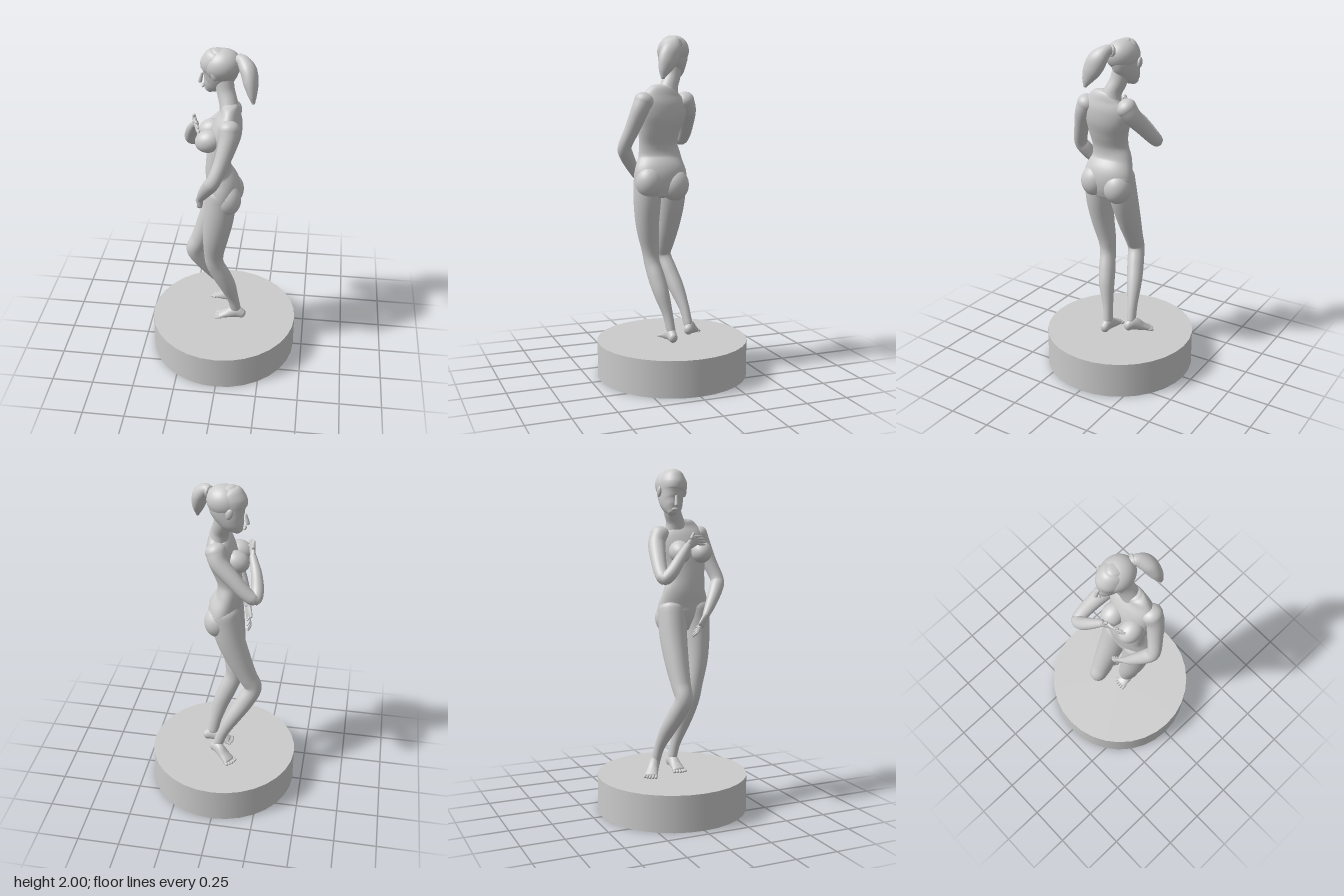
import * as THREE from 'three';

const material = new THREE.MeshStandardMaterial({ color: 0xcccccc });
const V = (x, y, z) => new THREE.Vector3(x, y, z);
const X = V(1, 0, 0), Z = V(0, 0, 1);

// Smooth limb through sections [x, y, z, a, b]: a = half width along ref, b = the other half width.
// Both ends are closed with a rounded cap.
function loft(name, sections, ref = Z, cap = 0.8, sides = 28, steps = 6) {
  const path = new THREE.CatmullRomCurve3(sections.map(s => V(s[0], s[1], s[2])), false, 'catmullrom', 0.5);
  const size = new THREE.CatmullRomCurve3(sections.map(s => V(s[3], s[4] ?? s[3], 0)), false, 'catmullrom', 0.5);
  const n = (sections.length - 1) * steps, capSteps = 6;
  const rings = [];
  for (let k = 0; k < capSteps; k++) rings.push([0, k / capSteps * Math.PI / 2, -1]);
  for (let k = 0; k <= n; k++) rings.push([k / n, Math.PI / 2, 0]);
  for (let k = capSteps - 1; k >= 0; k--) rings.push([1, k / capSteps * Math.PI / 2, 1]);

  const positions = [], index = [];
  rings.forEach(([t, phi, end], i) => {
    const r = size.getPoint(t), tangent = path.getTangent(t);
    const scale = Math.max(Math.sin(phi), 0.01);
    const centre = path.getPoint(t).addScaledVector(tangent, end * Math.cos(phi) * Math.min(r.x, r.y) * cap);
    const u = ref.clone().addScaledVector(tangent, -ref.dot(tangent)).normalize();
    const v = tangent.clone().cross(u);
    for (let j = 0; j < sides; j++) {
      const a = j / sides * Math.PI * 2;
      const p = centre.clone().addScaledVector(u, Math.cos(a) * r.x * scale).addScaledVector(v, Math.sin(a) * r.y * scale);
      positions.push(p.x, p.y, p.z);
      if (i < rings.length - 1) {
        const k = (j + 1) % sides, A = i * sides, B = A + sides;
        index.push(A + j, A + k, B + k, A + j, B + k, B + j);
      }
    }
  });
  const geometry = new THREE.BufferGeometry();
  geometry.setAttribute('position', new THREE.Float32BufferAttribute(positions, 3));
  geometry.setIndex(index);
  geometry.computeVertexNormals();
  return part(name, geometry);
}

function part(name, geometry) {
  const mesh = new THREE.Mesh(geometry, material);
  mesh.name = name;
  return mesh;
}

function ellipsoid(name, centre, radii, tilt = [0, 0, 0]) {
  const mesh = part(name, new THREE.SphereGeometry(1, 32, 20));
  mesh.position.set(...centre);
  mesh.scale.set(...radii);
  mesh.rotation.set(...tilt);
  return mesh;
}

// Flat palm from the wrist to the knuckles, four bent fingers and a thumb
function hand(name, wrist, knuckle, tip, spread) {
  const g = new THREE.Group();
  g.name = name;
  const mid = wrist.clone().lerp(knuckle, 0.55);
  g.add(loft('palm', [[...wrist, 0.021, 0.017], [...mid, 0.03, 0.014], [...knuckle, 0.032, 0.011]], spread, 0.6, 16, 4));
  for (let i = 0; i < 4; i++) {
    const root = knuckle.clone().addScaledVector(spread, (i - 1.5) * 0.016);
    const end = tip.clone().addScaledVector(spread, (i - 1.5) * 0.021).lerp(root, i === 0 || i === 3 ? 0.2 : 0);
    const joint = root.clone().lerp(end, 0.5).addScaledVector(X, -0.007);
    g.add(loft('finger', [[...root, 0.0095], [...joint, 0.0085], [...end, 0.006]], spread, 0.9, 10, 4));
  }
  const thumbRoot = mid.clone().addScaledVector(spread, 0.02);
  const thumbEnd = knuckle.clone().addScaledVector(spread, 0.046);
  g.add(loft('thumb', [[...thumbRoot, 0.012], [...thumbEnd, 0.008]], X, 0.9, 10, 4));
  return g;
}

// Low wedge of a foot from the heel to the toes, with the toes as small rounded tips
function foot(name, heel, toe, lift) {
  const g = new THREE.Group();
  g.name = name;
  const dir = toe.clone().sub(heel).normalize();
  const side = V(-dir.z, 0, dir.x).normalize();
  const at = (t, y, a, b) => {
    const p = heel.clone().lerp(toe, t);
    return [p.x, y, p.z, a, b];
  };
  g.add(loft('instep', [
    at(0.1, 0.25 + lift, 0.026, 0.03), at(0.32, 0.262 + lift * 0.8, 0.03, 0.04),
    at(0.6, 0.245 + lift * 0.3, 0.035, 0.027), at(0.82, 0.232, 0.038, 0.016),
  ], side));
  for (let i = 0; i < 5; i++) {
    const w = (i - 2) * 0.0155, len = 0.98 - Math.abs(i - 1.5) * 0.025;
    const a = heel.clone().lerp(toe, 0.78).addScaledVector(side, w);
    const b = heel.clone().lerp(toe, len).addScaledVector(side, w * 1.1);
    g.add(loft('toe', [[a.x, 0.23, a.z, 0.01], [b.x, 0.225, b.z, 0.0085]], side, 0.9, 10, 3));
  }
  return g;
}

export function createModel() {
  const model = new THREE.Group();
  model.name = 'statue';

  // Round plinth
  const plinth = part('plinth', new THREE.CylinderGeometry(0.447, 0.447, 0.215, 32));
  plinth.position.y = 0.1075;
  model.add(plinth);

  // Torso, from the pelvis to the base of the neck
  model.add(loft('torso', [
    [0.01, 1.09, 0.075, 0.11, 0.07], [0.01, 1.15, 0.075, 0.15, 0.088], [0.005, 1.22, 0.073, 0.156, 0.092],
    [-0.02, 1.3, 0.07, 0.132, 0.074], [-0.02, 1.38, 0.078, 0.116, 0.07], [0, 1.47, 0.078, 0.126, 0.08],
    [0.02, 1.55, 0.07, 0.143, 0.086], [0.035, 1.62, 0.062, 0.147, 0.074], [0.042, 1.67, 0.055, 0.115, 0.053],
    [0.04, 1.7, 0.045, 0.065, 0.045],
  ], Z, 0.3));
  for (const [z, y] of [[0.15, 1.165], [-0.003, 1.145]]) {
    model.add(ellipsoid('seat', [0.035, y, z], [0.08, 0.095, 0.084]));
  }
  for (const z of [0.152, 0.02]) {
    model.add(ellipsoid('chest', [-0.065, 1.535, z], [0.077, 0.064, 0.062], [0, 0, 0.3]));
  }

  // Neck
  model.add(loft('neck', [
    [0.04, 1.65, 0.045, 0.075, 0.055], [0.028, 1.71, 0.03, 0.053, 0.051],
    [0.01, 1.77, 0.005, 0.05, 0.05], [-0.005, 1.84, -0.01, 0.05, 0.055],
  ]));

  // Head, turned to -x and leaning slightly
  model.add(loft('head', [
    [-0.09, 1.757, -0.038, 0.026, 0.025], [-0.07, 1.785, -0.035, 0.047, 0.053], [-0.047, 1.82, -0.03, 0.062, 0.076],
    [-0.027, 1.87, -0.022, 0.073, 0.1], [-0.022, 1.92, -0.015, 0.078, 0.107], [-0.018, 1.96, -0.01, 0.066, 0.088],
    [-0.012, 1.982, -0.008, 0.04, 0.055],
  ], Z, 0.4));
  model.add(ellipsoid('hair', [-0.008, 1.912, -0.01], [0.102, 0.088, 0.09], [0, 0, 0.25]));
  model.add(loft('nose', [[-0.122, 1.85, -0.028, 0.007], [-0.131, 1.815, -0.032, 0.01], [-0.135, 1.8, -0.033, 0.011]], Z, 0.7, 12, 4));
  model.add(ellipsoid('lips', [-0.119, 1.776, -0.036], [0.01, 0.01, 0.02]));
  for (const s of [1, -1]) {
    model.add(ellipsoid('ear', [-0.045, 1.875, -0.022 + s * 0.078], [0.019, 0.031, 0.012], [0, 0, 0.25]));
  }

  // Ponytail and its band
  const band = part('hairBand', new THREE.TorusGeometry(0.024, 0.011, 10, 24));
  band.position.set(0.083, 1.95, 0.005);
  band.rotation.y = Math.PI / 2 - 0.4;
  model.add(band);
  model.add(loft('ponytail', [
    [0.07, 1.948, 0, 0.025], [0.1, 1.952, 0.02, 0.034, 0.034], [0.135, 1.915, 0.052, 0.056, 0.044],
    [0.152, 1.855, 0.082, 0.056, 0.04], [0.163, 1.8, 0.107, 0.035, 0.025], [0.17, 1.76, 0.12, 0.012, 0.01],
  ]));

  // Lowered arm on the +z side
  model.add(loft('leftArm', [
    [0.05, 1.63, 0.185, 0.06], [0.047, 1.57, 0.215, 0.051], [0.02, 1.47, 0.25, 0.043], [-0.018, 1.37, 0.283, 0.039],
    [-0.045, 1.32, 0.265, 0.041], [-0.088, 1.235, 0.21, 0.032], [-0.115, 1.17, 0.165, 0.021],
  ], X));
  model.add(hand('leftHand', V(-0.115, 1.17, 0.165), V(-0.13, 1.11, 0.125), V(-0.125, 1.07, 0.08), V(-0.25, 0.5, -0.83).cross(V(-1, 0, 0.3)).normalize()));

  // Raised, folded arm on the -z side
  model.add(loft('rightArm', [
    [0.035, 1.63, -0.06, 0.06], [0.01, 1.575, -0.09, 0.052], [-0.065, 1.5, -0.115, 0.045], [-0.145, 1.425, -0.132, 0.039],
    [-0.194, 1.395, -0.13, 0.036], [-0.202, 1.43, -0.09, 0.036], [-0.187, 1.5, -0.035, 0.031], [-0.158, 1.57, 0.025, 0.021],
  ], X));
  model.add(hand('rightHand', V(-0.158, 1.57, 0.025), V(-0.142, 1.605, 0.085), V(-0.12, 1.6, 0.15), V(-0.3, 0.8, -0.45).normalize()));

  // Standing leg
  model.add(loft('leftLeg', [
    [0, 1.2, 0.148, 0.082, 0.088], [-0.012, 1.05, 0.15, 0.079, 0.087], [-0.032, 0.9, 0.142, 0.067, 0.075],
    [-0.046, 0.76, 0.12, 0.052, 0.058], [-0.04, 0.68, 0.112, 0.046, 0.054], [-0.005, 0.59, 0.095, 0.049, 0.055],
    [0.03, 0.5, 0.077, 0.045, 0.05], [0.06, 0.38, 0.05, 0.03, 0.036], [0.077, 0.29, 0.037, 0.026, 0.033],
  ]));
  model.add(foot('leftFoot', V(0.138, 0, 0.038), V(-0.055, 0, 0.034), 0));

  // Bent leg, knee forward and foot turned out
  model.add(loft('rightLeg', [
    [0, 1.2, 0, 0.085, 0.088], [-0.035, 1.05, -0.008, 0.08, 0.085], [-0.09, 0.9, -0.01, 0.069, 0.073],
    [-0.143, 0.78, -0.008, 0.057, 0.058], [-0.178, 0.695, -0.006, 0.051, 0.053], [-0.132, 0.6, -0.03, 0.05, 0.053],
    [-0.07, 0.5, -0.058, 0.045, 0.046], [-0.01, 0.39, -0.083, 0.03, 0.034], [0.022, 0.3, -0.095, 0.026, 0.031],
  ]));
  model.add(foot('rightFoot', V(0.065, 0, -0.075), V(-0.085, 0, -0.18), 0.018));

  return model;
}
